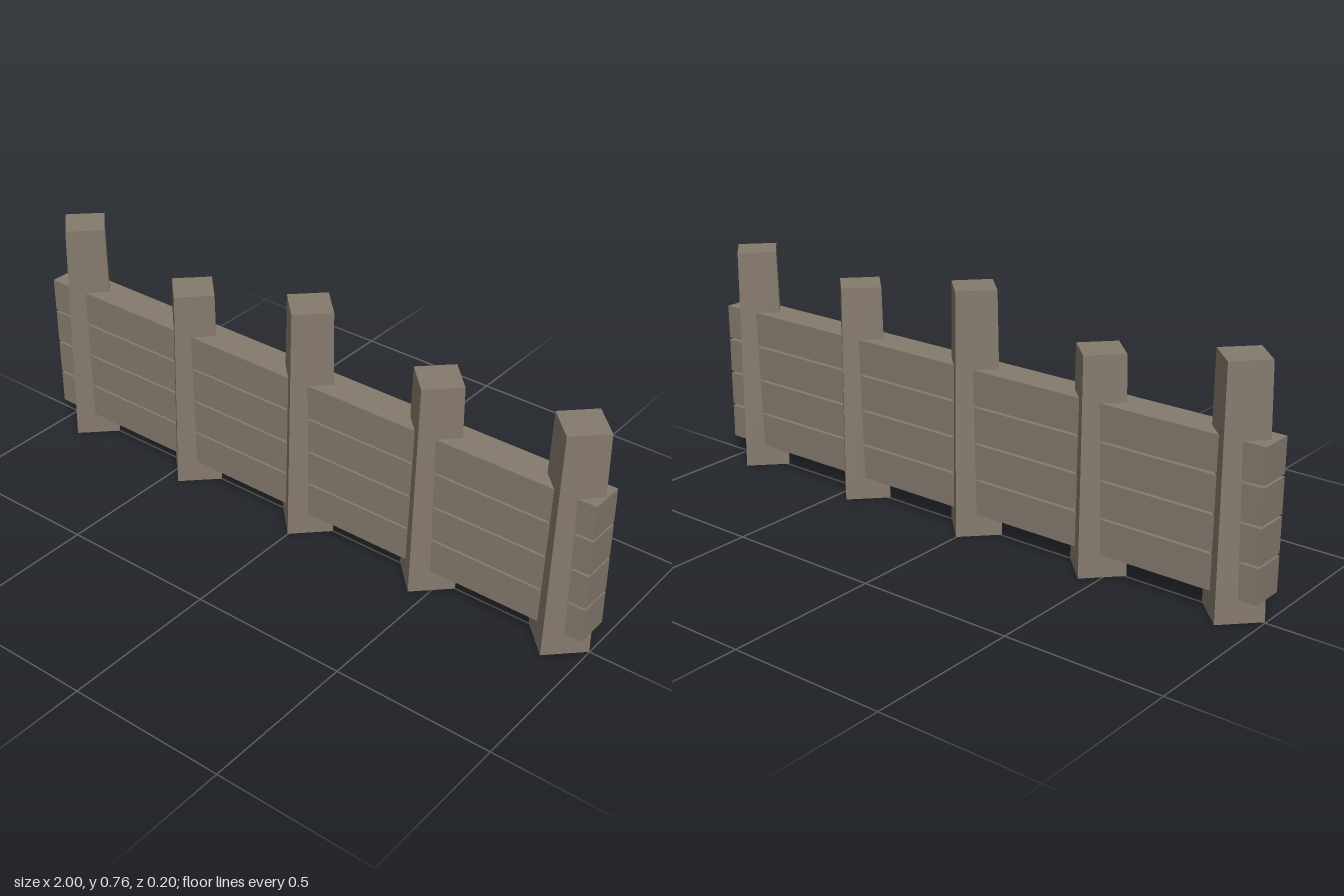
import * as THREE from 'three';

export function createModel() {
  const group = new THREE.Group();
  const wood = new THREE.MeshStandardMaterial({ color: 0x857a6d, flatShading: true });
  wood.name = 'weathered wood';

  // Tapered square posts, set corner-on and leaning slightly to one side
  const lean = 0.012;
  [0.742, 0.663, 0.761, 0.688, 0.722].forEach((height, i) => {
    const geometry = new THREE.CylinderGeometry(0.086, 0.099, height, 4);
    geometry.translate(0, height / 2, 0);
    const post = new THREE.Mesh(geometry, wood);
    post.name = `post${i + 1}`;
    post.position.set(-0.9 + i * 0.45, 0.001, 0);
    post.rotation.z = -lean;
    group.add(post);
  });

  // Four full-length rails passing through the posts, with narrow gaps
  const railGeometry = new THREE.BoxGeometry(2, 0.108, 0.108);
  for (let i = 0; i < 4; i++) {
    const rail = new THREE.Mesh(railGeometry, wood);
    rail.name = `rail${i + 1}`;
    rail.position.y = 0.126 + i * 0.115;
    group.add(rail);
  }

  return group;
}
